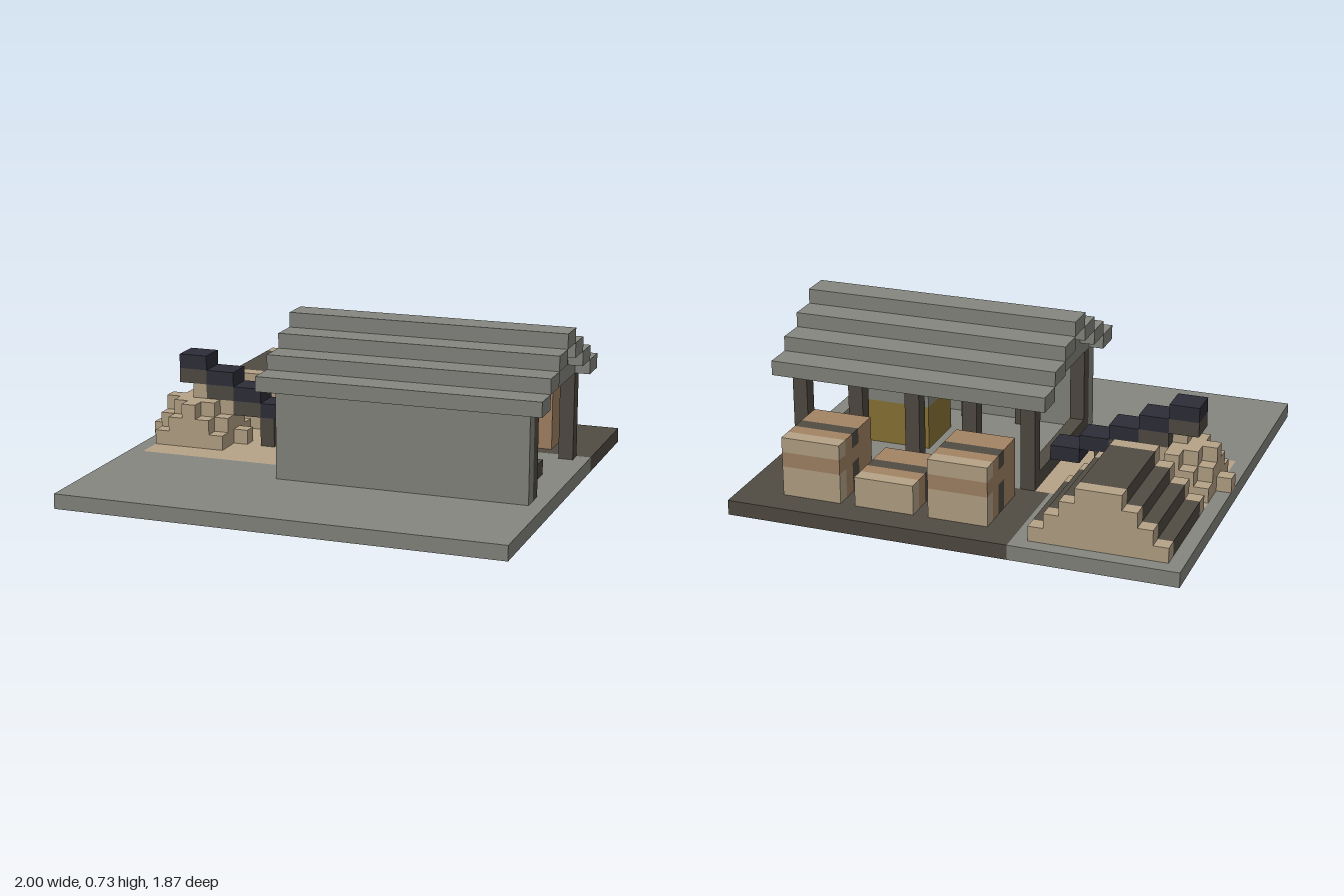
import * as THREE from 'three';

const U = 1 / 15; // one block
const mat = (name, color) => Object.assign(new THREE.MeshStandardMaterial({ color }), { name });

export function createModel() {
  const root = new THREE.Group();
  root.name = 'blockSawmill';
  const stone = mat('stone grey', 0x85867f);
  const wood = mat('dark brown', 0x504b42);
  const sand = mat('sand', 0xb6a386);
  const tan = mat('tan', 0xa38364);
  const navy = mat('navy', 0x2d2d38);
  const gold = mat('gold', 0x8a7436);

  const group = (name) => {
    const g = new THREE.Group();
    g.name = name;
    root.add(g);
    return g;
  };
  // box between block coordinates
  const box = (g, name, m, x0, x1, y0, y1, z0, z1) => {
    const mesh = new THREE.Mesh(new THREE.BoxGeometry((x1 - x0) * U, (y1 - y0) * U, (z1 - z0) * U), m);
    mesh.position.set((x0 + x1) * U / 2, (y0 + y1) * U / 2, (z0 + z1) * U / 2);
    mesh.name = name;
    g.add(mesh);
  };

  // ground slab with inset patches
  const ground = group('ground');
  box(ground, 'frontSlab', stone, -15, 15, 0, 1, 3, 14);
  box(ground, 'backSlab', stone, -15, -4, 0, 1, -14, -6);
  box(ground, 'edgeSlab', stone, -15, -14, 0, 1, -6, 3);
  box(ground, 'houseFloor', stone, -3, 15, 0, 1, -6, 3);
  box(ground, 'sandPatch', sand, -14, -3, 0, 1, -6, 3);
  box(ground, 'storageYard', wood, -4, 15, 0, 1, -14, -6);

  // open shed: front wall, posts, low sill
  const shed = group('shed');
  box(shed, 'frontWall', stone, -3, 14, 1, 7, 5, 6);
  for (let x = -3; x <= 13; x += 4) {
    box(shed, 'innerPost', wood, x, x + 1, 1, 7, 4, 5);
    box(shed, 'backPost', wood, x, x + 1, 1, 7, -6, -5);
  }
  box(shed, 'lowSill', wood, -3, -2, 1, 2, -5, 4);

  // stepped roof with inset gables
  const roof = group('roof');
  for (let i = 0; i < 3; i++) {
    const z = 5 - 2 * i;
    box(roof, 'roofStepFront', stone, -4, 15, 7 + i, 8 + i, z, z + 2);
    box(roof, 'roofStepBack', stone, -4, 15, 7 + i, 8 + i, -z - 2, -z);
    for (const x of [-3, 13]) box(roof, 'gable', stone, x, x + 1, 7 + i, 8 + i, -z, z);
  }
  box(roof, 'ridge', stone, -4, 15, 10, 11, -1, 1);

  // machine with outlet
  const machine = group('machine');
  box(machine, 'machineBody', gold, 6, 11, 1, 4, -2, 2);
  box(machine, 'machineTop', stone, 6, 11, 4, 5, -2, 2);
  box(machine, 'machineOutlet', wood, 11, 13, 1, 2, -1, 1);

  // stepped conveyor
  const conveyor = group('conveyor');
  for (let i = 0; i < 5; i++) {
    const x = -13 + 2 * i, y = 6 - i;
    box(conveyor, 'conveyorStep', navy, x, x + 2, y, y + 1, -3, -1);
    if (i < 3) box(conveyor, 'conveyorSupport', wood, x, x + 2, y - 1, y, -3, -1);
  }
  box(conveyor, 'conveyorLeg', wood, -7, -6, 1, 3, -3, -1);

  // rounded heap below the conveyor, one cell at a time by layer radius
  const heap = group('sandHeap');
  [3, 2.3, 2, 0.5].forEach((r, layer) => {
    for (let k = -3; k <= 3; k++) {
      let half = -1;
      for (let j = 0; j <= 3; j++) if (Math.hypot(j, k) <= r) half = j;
      if (half < 0 || Math.abs(k) > 2) continue;
      box(heap, 'heapRow', sand, -12 - half, -11 + half, 1 + layer, 2 + layer, k - 2, k - 1);
    }
  });

  // covered pile: dark middle between sand ends
  const pile = group('coveredPile');
  for (let i = 0; i < 4; i++) {
    const a = -14 + i, b = -5 - i;
    box(pile, 'pileBackEnd', sand, a, b, 1 + i, 2 + i, -13, -12);
    box(pile, 'pileCover', wood, a, b, 1 + i, 2 + i, -12, -6);
    box(pile, 'pileFrontEnd', sand, a, b, 1 + i, 2 + i, -6, -5);
  }

  // strapped crates
  for (const [x, top] of [[-2, 5], [3, 3], [8, 5]]) {
    const crate = group('crate');
    const tall = top === 5;
    box(crate, 'crateFront', tan, x, x + 4, 1, top, -9, -7);
    box(crate, 'crateBack', tan, x, x + 4, 1, top, -11, -10);
    box(crate, 'crateStrap', wood, x, x + 4, 1, 3, -10, -9);
    box(crate, 'crateEnd', sand, x, x + 4, 1, 3, -12, -11);
    if (tall) {
      box(crate, 'crateBand', tan, x, x + 4, 3, 4, -10, -9);
      box(crate, 'crateStrapTop', wood, x, x + 4, 4, 5, -10, -9);
      box(crate, 'crateEndBand', tan, x, x + 4, 3, 4, -12, -11);
      box(crate, 'crateEndTop', sand, x, x + 4, 4, 5, -12, -11);
    }
  }
  return root;
}
